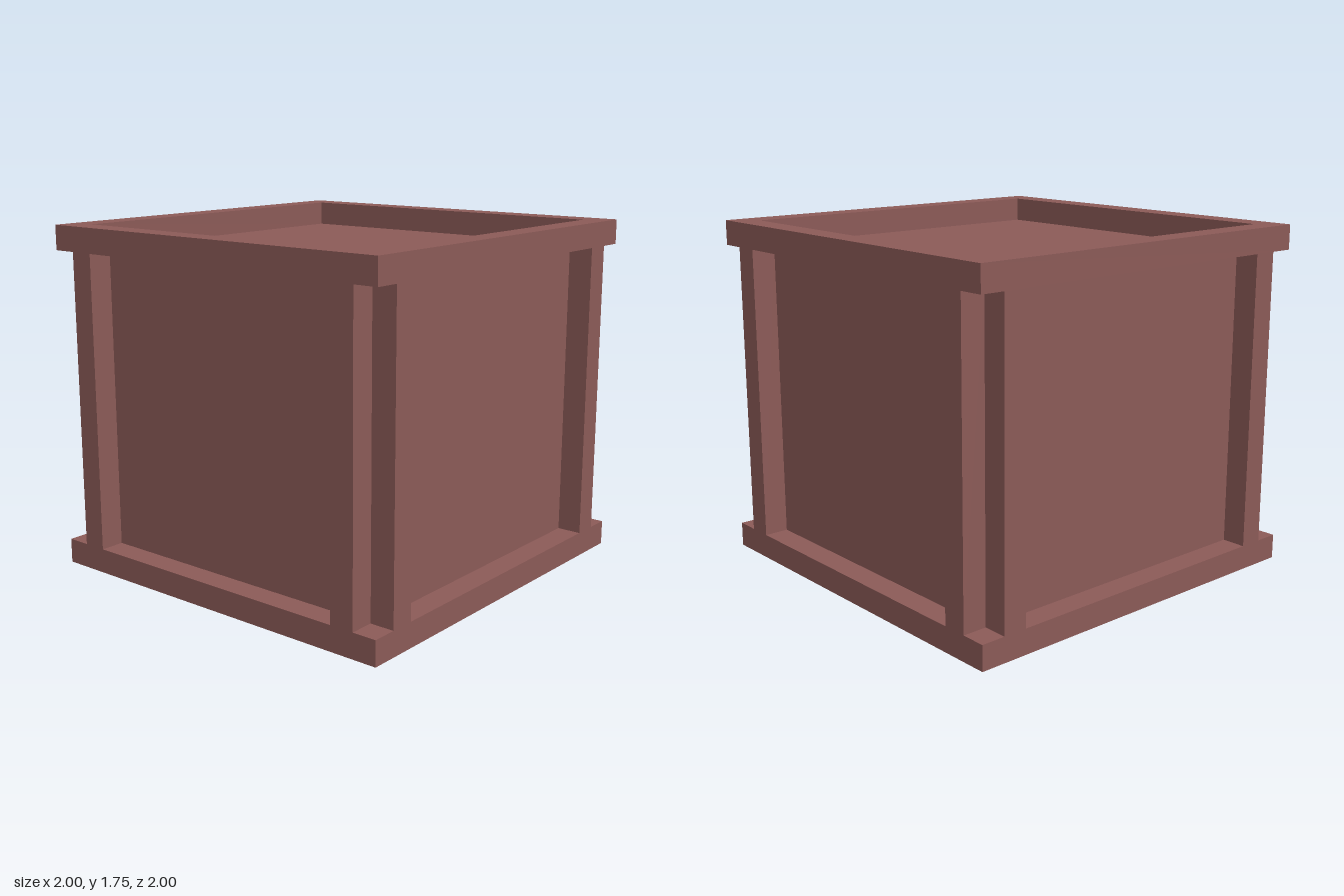
import * as THREE from 'three';

const T = 0.125;        // board thickness
const W = 2, H = 1.75;  // overall width and height

export function createModel() {
  const crate = new THREE.Group();
  crate.name = 'crate';
  const wood = new THREE.MeshStandardMaterial({ color: 0x8b5a57 });
  wood.name = 'reddish brown wood';

  const add = (geometry, name, x = 0, y = 0, z = 0, parent = crate) => {
    const mesh = new THREE.Mesh(geometry, wood);
    mesh.name = name;
    mesh.position.set(x, y, z);
    parent.add(mesh);
    return mesh;
  };

  // solid base and the recessed body whose faces are the panels
  add(new THREE.BoxGeometry(W, T, W), 'base', 0, T / 2, 0);
  add(new THREE.BoxGeometry(W - 2 * T, H - 2 * T, W - 2 * T), 'body', 0, H / 2, 0);

  // square rim around the sunken lid
  const square = (Type, r) => new Type([[-r, -r], [r, -r], [r, r], [-r, r]].map(([x, y]) => new THREE.Vector2(x, y)));
  const rimShape = square(THREE.Shape, W / 2);
  rimShape.holes.push(square(THREE.Path, W / 2 - T));
  const rim = new THREE.ExtrudeGeometry(rimShape, { depth: T, bevelEnabled: false });
  rim.rotateX(-Math.PI / 2);
  add(rim, 'topRim', 0, H - T, 0);

  // underside of the rim where it meets the body is closed by the body itself;
  // two upright posts stand on each of the four sides
  const post = new THREE.BoxGeometry(T, H - 2 * T, T);
  ['front', 'left', 'back', 'right'].forEach((name, i) => {
    const side = new THREE.Group();
    side.name = name + 'Posts';
    side.rotation.y = i * Math.PI / 2;
    for (const s of [-1, 1]) add(post, name + 'Post', s * (W / 2 - 1.5 * T), H / 2, W / 2 - T / 2, side);
    crate.add(side);
  });

  return crate;
}
